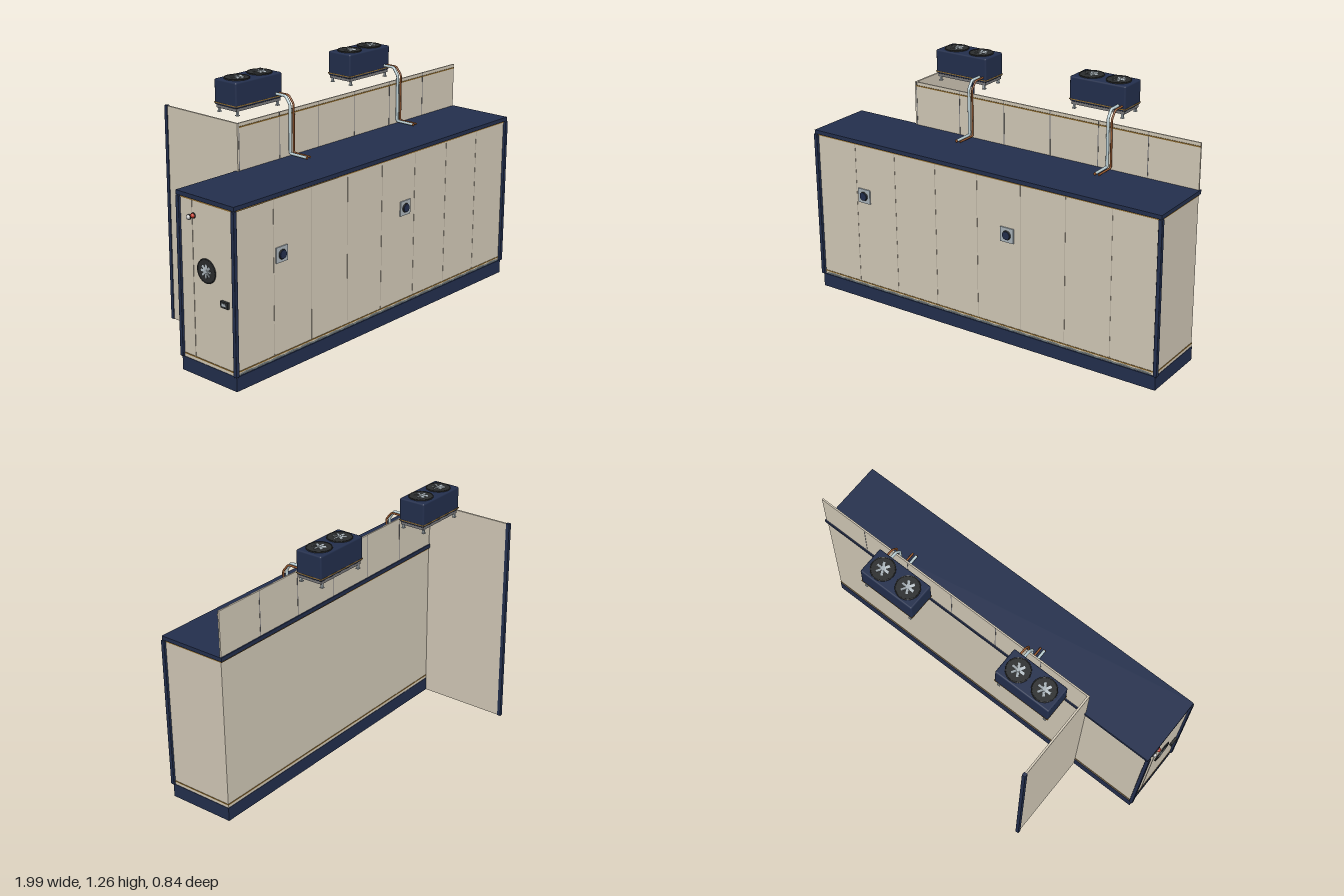
import * as THREE from 'three';
import { RoundedBoxGeometry } from 'three/addons/geometries/RoundedBoxGeometry.js';

const mat = (color) => new THREE.MeshStandardMaterial({ color });
const cream = mat(0xd3cab8), navy = mat(0x232f4d), gold = mat(0x8f6d33), seam = mat(0xb3aa9a),
  dark = mat(0x2b2d2e), steel = mat(0xaab4ba), copper = mat(0x96582f), grey = mat(0x77777a),
  red = mat(0xc03a2a), white = mat(0xe8e8e8), pale = mat(0xb9cdd2);

function add(parent, name, geometry, material, x = 0, y = 0, z = 0) {
  const mesh = new THREE.Mesh(geometry, material);
  mesh.name = name;
  mesh.position.set(x, y, z);
  parent.add(mesh);
  return mesh;
}

// box given by its extents along each axis
function box(parent, name, material, [x0, x1], [y0, y1], [z0, z1]) {
  return add(parent, name, new THREE.BoxGeometry(x1 - x0, y1 - y0, z1 - z0), material,
    (x0 + x1) / 2, (y0 + y1) / 2, (z0 + z1) / 2);
}

// fan lying flat, facing up
function fan(radius, blades) {
  const g = new THREE.Group();
  g.name = 'fan';
  add(g, 'fanDisc', new THREE.CylinderGeometry(radius, radius, 0.004, 28), dark);
  const ring = add(g, 'fanRing', new THREE.TorusGeometry(radius * 0.96, 0.002, 6, 28), dark, 0, 0.002, 0);
  ring.rotation.x = Math.PI / 2;
  for (let i = 0; i < blades; i++) {
    const arm = new THREE.Group();
    arm.rotation.y = (i / blades) * Math.PI * 2;
    const blade = add(arm, 'fanBlade', new THREE.BoxGeometry(radius * 0.45, 0.002, radius * 0.2), steel, radius * 0.33, 0.004, 0);
    blade.rotation.x = 0.3;
    g.add(arm);
  }
  add(g, 'fanHub', new THREE.CylinderGeometry(radius * 0.16, radius * 0.16, 0.008, 16), steel, 0, 0.003, 0);
  return g;
}

// pipe following straight runs with tight bends
function pipe(parent, name, material, x, radius, dz) {
  const pts = [[1.15, -0.03], [1.15, 0.045], [1.112, 0.073 + dz], [0.875, 0.073 + dz], [0.875, 0.18]]
    .map(([y, z]) => new THREE.Vector3(x, y, z));
  const path = new THREE.CurvePath();
  let last = pts[0];
  for (let i = 1; i < pts.length - 1; i++) {
    const a = pts[i].clone().add(pts[i - 1].clone().sub(pts[i]).setLength(0.01));
    const b = pts[i].clone().add(pts[i + 1].clone().sub(pts[i]).setLength(0.01));
    path.add(new THREE.LineCurve3(last, a));
    path.add(new THREE.QuadraticBezierCurve3(a, pts[i], b));
    last = b;
  }
  path.add(new THREE.LineCurve3(last, pts[pts.length - 1]));
  add(parent, name, new THREE.TubeGeometry(path, 90, radius, 10), material);
  const cap = add(parent, name + 'End', new THREE.CylinderGeometry(radius, radius, 0.004, 10), copper, x, 0.875, 0.18);
  cap.rotation.x = Math.PI / 2;
}

// rooftop cooling unit with two fans, feet and two pipes
function coolingUnit(cx, pipeX) {
  const g = new THREE.Group();
  g.name = 'coolingUnit';
  const cz = -0.087;
  add(g, 'unitCasing', new RoundedBoxGeometry(0.304, 0.124, 0.144, 2, 0.008), navy, cx, 1.186, cz);
  box(g, 'unitTrim', gold, [cx - 0.153, cx + 0.153], [1.133, 1.138], [cz - 0.073, cz + 0.073]);
  box(g, 'unitUnderside', grey, [cx - 0.145, cx + 0.145], [1.11, 1.126], [cz - 0.066, cz + 0.066]);
  for (const sx of [-1, 1]) {
    const f = fan(0.061, 6);
    f.position.set(cx + sx * 0.074, 1.25, cz);
    g.add(f);
    for (const sz of [-1, 1]) {
      const x = cx + sx * 0.132, z = cz + sz * 0.06;
      box(g, 'unitFoot', steel, [x - 0.005, x + 0.005], [1.092, 1.115], [z - 0.005, z + 0.005]);
      box(g, 'unitFootPad', steel, [x - 0.008, x + 0.008], [1.088, 1.092], [z - 0.008, z + 0.008]);
    }
  }
  pipe(g, 'insulatedPipe', pale, pipeX, 0.007, 0);
  pipe(g, 'copperPipe', copper, pipeX + 0.022, 0.005, 0.003);
  return g;
}

export function createModel() {
  const model = new THREE.Group();
  model.name = 'coldRoom';
  const X = 0.985, zb = 0.06, zf = 0.405;

  // main cabin
  box(model, 'plinth', navy, [-X, X], [0, 0.07], [zb, 0.412]);
  box(model, 'cabin', cream, [-X + 0.002, X - 0.002], [0.07, 0.842], [zb + 0.002, zf]);
  box(model, 'roof', navy, [-0.99, 0.99], [0.842, 0.862], [0.052, 0.416]);
  box(model, 'lowerTrim', gold, [-X, X], [0.085, 0.091], [zb, zf + 0.002]);
  box(model, 'upperTrim', gold, [-X, X], [0.834, 0.842], [zb - 0.002, zf + 0.004]);
  for (const [x, z] of [[-X, 0.41], [X, 0.41], [-X, 0.065]])
    add(model, 'cornerPost', new RoundedBoxGeometry(0.02, 0.77, 0.02, 2, 0.003), navy, x, 0.456, z);
  for (let i = 1; i < 8; i++) {
    const x = -X + i * X / 4;
    box(model, 'frontSeam', seam, [x - 0.001, x + 0.001], [0.091, 0.834], [zf - 0.001, zf + 0.001]);
  }

  // scalloped strip above the plinth
  const wave = Array.from({ length: 81 }, (_, i) =>
    new THREE.Vector3(-0.96 + i * 0.024, 0.074 + 0.004 * Math.abs(Math.sin(i * Math.PI / 4)), 0.408));
  add(model, 'scallopStrip', new THREE.TubeGeometry(new THREE.CatmullRomCurve3(wave), 240, 0.003, 5), pale);

  // front control plates
  for (const x of [-0.69, 0.173]) {
    const plate = new THREE.Group();
    plate.name = 'controlPlate';
    plate.position.set(x, 0.568, zf);
    add(plate, 'plate', new THREE.BoxGeometry(0.074, 0.074, 0.012), steel);
    add(plate, 'knobRing', new THREE.TorusGeometry(0.021, 0.003, 8, 24), dark, 0, 0, 0.008);
    const knob = add(plate, 'knob', new THREE.CylinderGeometry(0.02, 0.02, 0.014, 24), navy, 0, 0, 0.008);
    knob.rotation.x = Math.PI / 2;
    model.add(plate);
  }

  // fittings on the right end
  const endFan = fan(0.058, 8);
  endFan.rotation.z = Math.PI / 2;
  endFan.position.set(-X - 0.001, 0.525, 0.235);
  model.add(endFan);
  box(model, 'endSeam', seam, [-X, -X + 0.004], [0.091, 0.834], [0.148, 0.15]);
  box(model, 'doorHandle', dark, [-0.998, -X], [0.385, 0.415], [0.33, 0.375]);
  box(model, 'handleFace', steel, [-0.9985, -0.997], [0.394, 0.406], [0.338, 0.362]);
  for (const [m, z, y] of [[white, 0.13, 0.752], [red, 0.158, 0.765]]) {
    const base = add(model, 'lampBase', new THREE.CylinderGeometry(0.013, 0.013, 0.006, 16), dark, -X, y, z);
    base.rotation.z = Math.PI / 2;
    add(model, 'lamp', new THREE.SphereGeometry(0.011, 16, 10), m, -X - 0.003, y, z);
  }

  // tall back wall and partition
  box(model, 'backWall', cream, [-0.62, X], [0.862, 1.088], [0.058, 0.066]);
  box(model, 'backWallTrim', gold, [-0.61, X], [1.066, 1.072], [0.063, 0.069]);
  for (let i = 0; i < 6; i++) {
    const x = -0.61 + i * 0.266;
    box(model, 'backWallSeam', grey, [x - 0.002, x + 0.002], [0.862, 1.088], [0.057, 0.067]);
  }
  box(model, 'partition', cream, [-0.62, -0.61], [0, 1.088], [-0.405, 0.064]);
  box(model, 'partitionPost', navy, [-0.624, -0.606], [0, 1.09], [-0.42, -0.402]);

  model.add(coolingUnit(-0.393, -0.281), coolingUnit(0.395, 0.509));
  return model;
}
